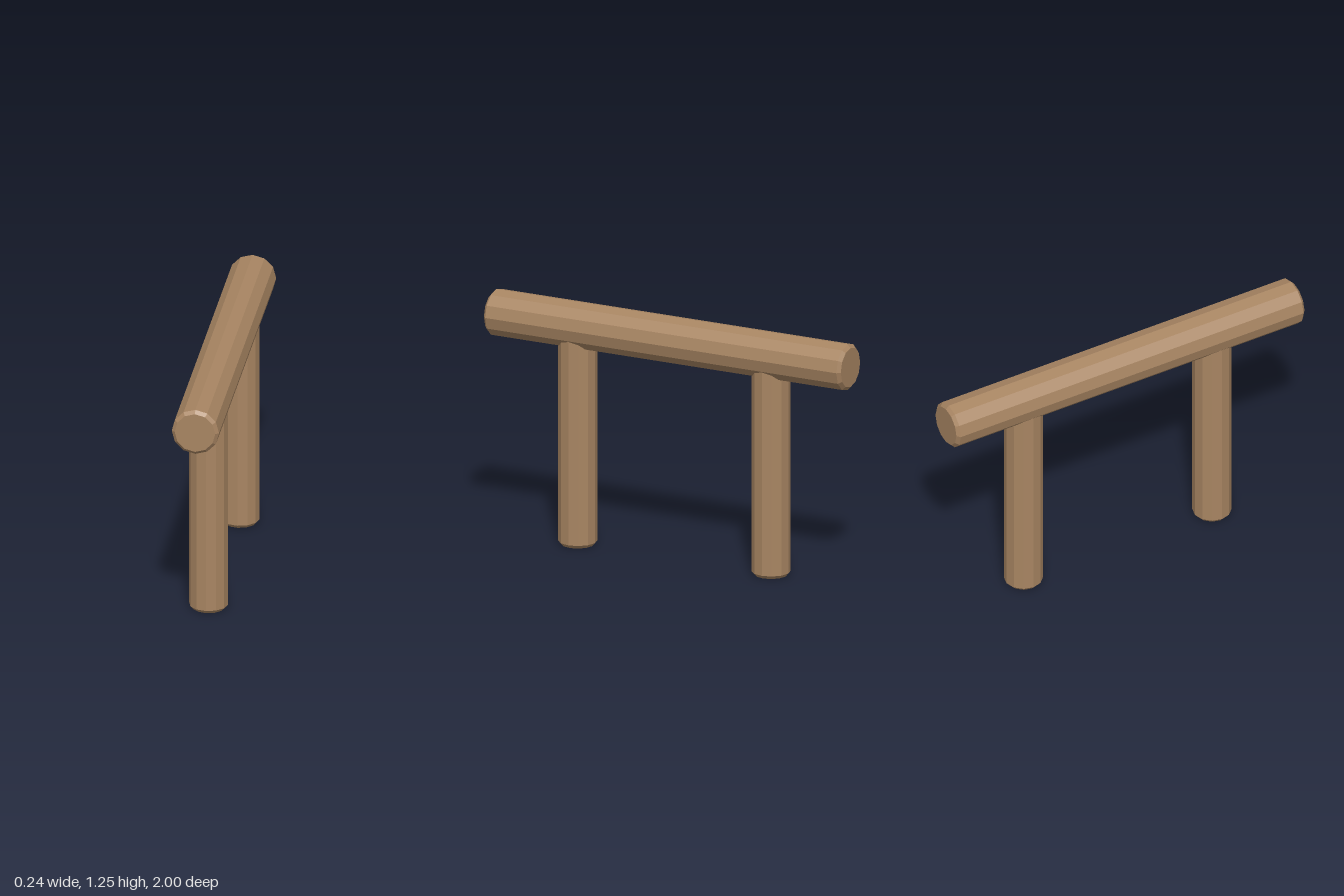
import * as THREE from 'three';

const wood = new THREE.MeshStandardMaterial({ color: 0xa88562, flatShading: true });

// Twelve-sided log standing on y = 0, with chamfered ends
function log(name, radius, length, inset, chamfer) {
  const profile = [
    [0, 0],
    [radius - inset, 0],
    [radius, chamfer],
    [radius, length - chamfer],
    [radius - inset, length],
    [0, length],
  ].map(([x, y]) => new THREE.Vector2(x, y));
  const mesh = new THREE.Mesh(new THREE.LatheGeometry(profile, 12), wood);
  mesh.name = name;
  return mesh;
}

export function createModel() {
  const group = new THREE.Group();
  group.name = 'hitchingRail';

  // Horizontal rail running front to back
  const rail = log('rail', 0.118, 2, 0.017, 0.016);
  rail.rotation.x = Math.PI / 2;
  rail.position.set(0, 1.132, -1);
  group.add(rail);

  // Two posts, their tops sunk into the rail
  for (const [name, z] of [['frontPost', 0.528], ['backPost', -0.555]]) {
    const post = log(name, 0.097, 1.14, 0.016, 0.018);
    post.position.z = z;
    group.add(post);
  }
  return group;
}
